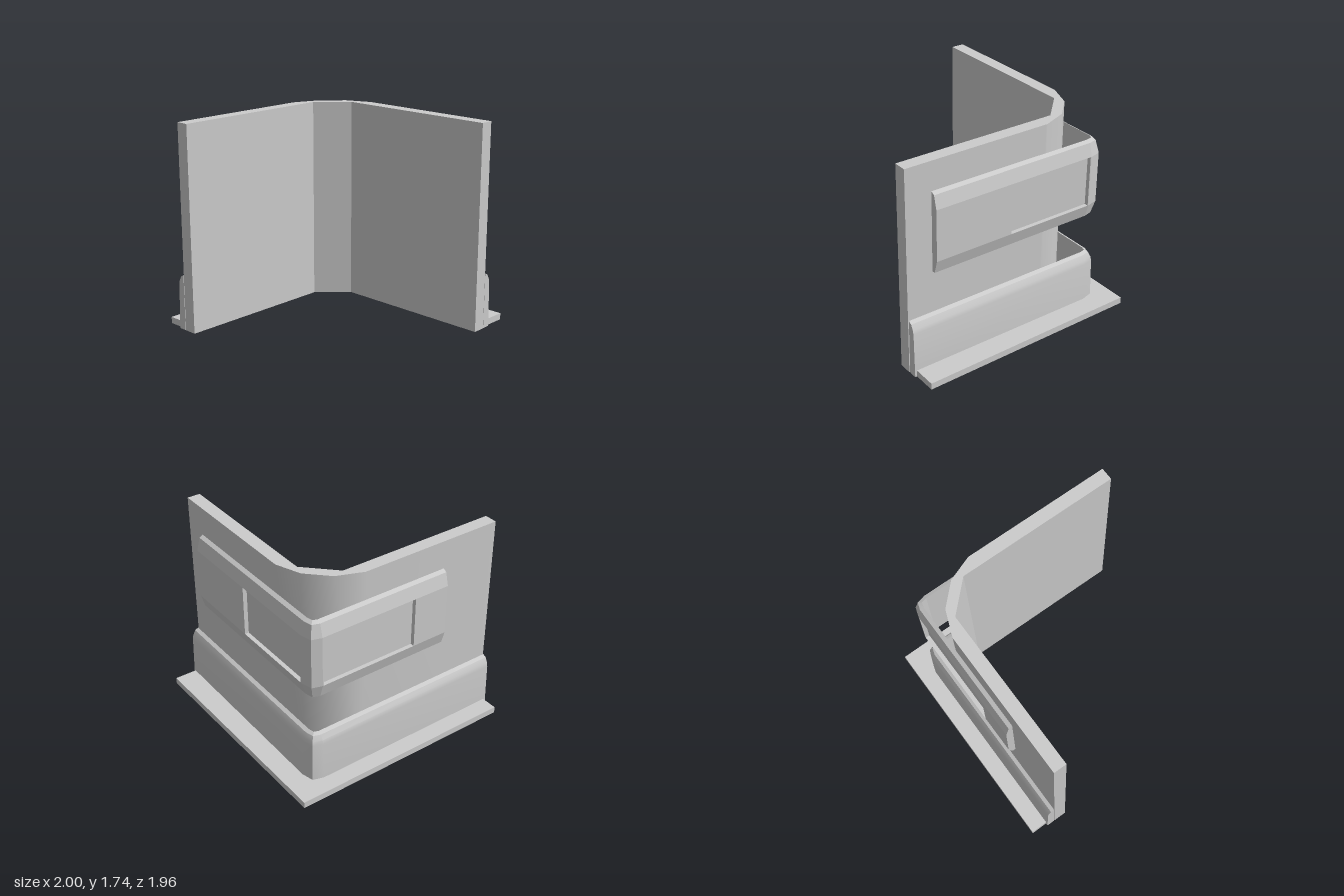
import * as THREE from 'three';
import { toCreasedNormals } from 'three/addons/utils/BufferGeometryUtils.js';

const material = new THREE.MeshStandardMaterial({ color: 0xcccccc, side: THREE.DoubleSide });

function addMesh(group, name, geometry, crease) {
  const mesh = new THREE.Mesh(toCreasedNormals(geometry, crease), material);
  mesh.name = name;
  group.add(mesh);
}

// Upright slab from a plan outline of [x, z] points
function slab(outline, height) {
  const shape = new THREE.Shape(outline.map(([x, z]) => new THREE.Vector2(x, -z)));
  const geometry = new THREE.ExtrudeGeometry(shape, { depth: height, bevelEnabled: false });
  return geometry.rotateX(-Math.PI / 2);
}

// Sweep a closed [depth, y] profile through stations { x, z, dx, dz, profile }
function sweep(stations) {
  const rings = stations.map(s => s.profile.map(([d, y]) =>
    new THREE.Vector3(s.x + s.dx * d, y, s.z + s.dz * d)));
  const positions = [];
  const tri = (a, b, c) => {
    if (new THREE.Triangle(a, b, c).getArea() < 1e-7) return;
    for (const p of [a, b, c]) positions.push(p.x, p.y, p.z);
  };
  const n = rings[0].length;
  for (let i = 0; i + 1 < rings.length; i++) {
    const r = rings[i], q = rings[i + 1];
    for (let j = 0; j < n; j++) {
      const k = (j + 1) % n;
      tri(r[j], r[k], q[j]);
      tri(r[k], q[k], q[j]);
    }
  }
  const first = rings[0], last = rings[rings.length - 1];
  for (let j = 1; j + 1 < n; j++) {
    tri(first[0], first[j + 1], first[j]);
    tri(last[0], last[j], last[j + 1]);
  }
  const geometry = new THREE.BufferGeometry();
  geometry.setAttribute('position', new THREE.Float32BufferAttribute(positions, 3));
  return geometry;
}

// Stations on the back arm, the small bevelled corner and the side arm
const onBack = (x, profile) => ({ x, z: -0.77, dx: 0, dz: -1, profile });
const onSide = (z, profile) => ({ x: 0.737, z, dx: 1, dz: 0, profile });
const corner = profile => [
  onBack(0.69, profile),
  { x: 0.726, z: -0.757, dx: 0.78, dz: -0.78, profile },
  onSide(-0.71, profile),
];

export function createModel() {
  const model = new THREE.Group();
  model.name = 'cornerWall';

  // Wall with a rounded outer corner and a chamfered inner one
  addMesh(model, 'wall', slab([
    [-1, -0.655], [0.385, -0.655], [0.62, -0.42], [0.62, 0.975], [0.73, 0.975],
    [0.73, -0.29], [0.73, -0.3], [0.65, -0.51], [0.48, -0.68],
    [0.26, -0.765], [0.25, -0.765], [-1, -0.765],
  ], 1.74), 0.5);

  // Thin L-shaped floor strip
  addMesh(model, 'floorStrip', slab([
    [-0.98, -0.98], [-0.975, -0.655], [0.71, -0.655], [0.71, 0.955],
    [1, 0.955], [0.975, -0.98],
  ], 0.055), 0.3);

  // Skirting that turns a sharper corner than the wall
  const skirting = [[0, 0], [0.07, 0], [0.059, 0.385], [0.052, 0.42], [0.03, 0.462], [0, 0.478]];
  addMesh(model, 'skirting', sweep([
    onBack(-1, skirting), ...corner(skirting), onSide(0.972, skirting),
  ]), 0.4);

  // Rail with a recessed panel on each arm beside the corner
  const rail = depth => [
    [0, 0.835], [0.028, 0.835], [0.06, 0.945], [depth, 0.945],
    [depth, 1.375], [0.06, 1.375], [0.032, 1.485], [0, 1.503],
  ];
  const plain = rail(0.06), recessed = rail(0.025);
  addMesh(model, 'rail', sweep([
    onBack(-0.485, plain), onBack(-0.17, plain), onBack(-0.17, recessed),
    onBack(0.68, recessed), onBack(0.68, plain),
    ...corner(plain),
    onSide(-0.7, plain), onSide(-0.7, recessed),
    onSide(0.07, recessed), onSide(0.07, plain), onSide(0.755, plain),
  ]), 0.2);

  return model;
}
